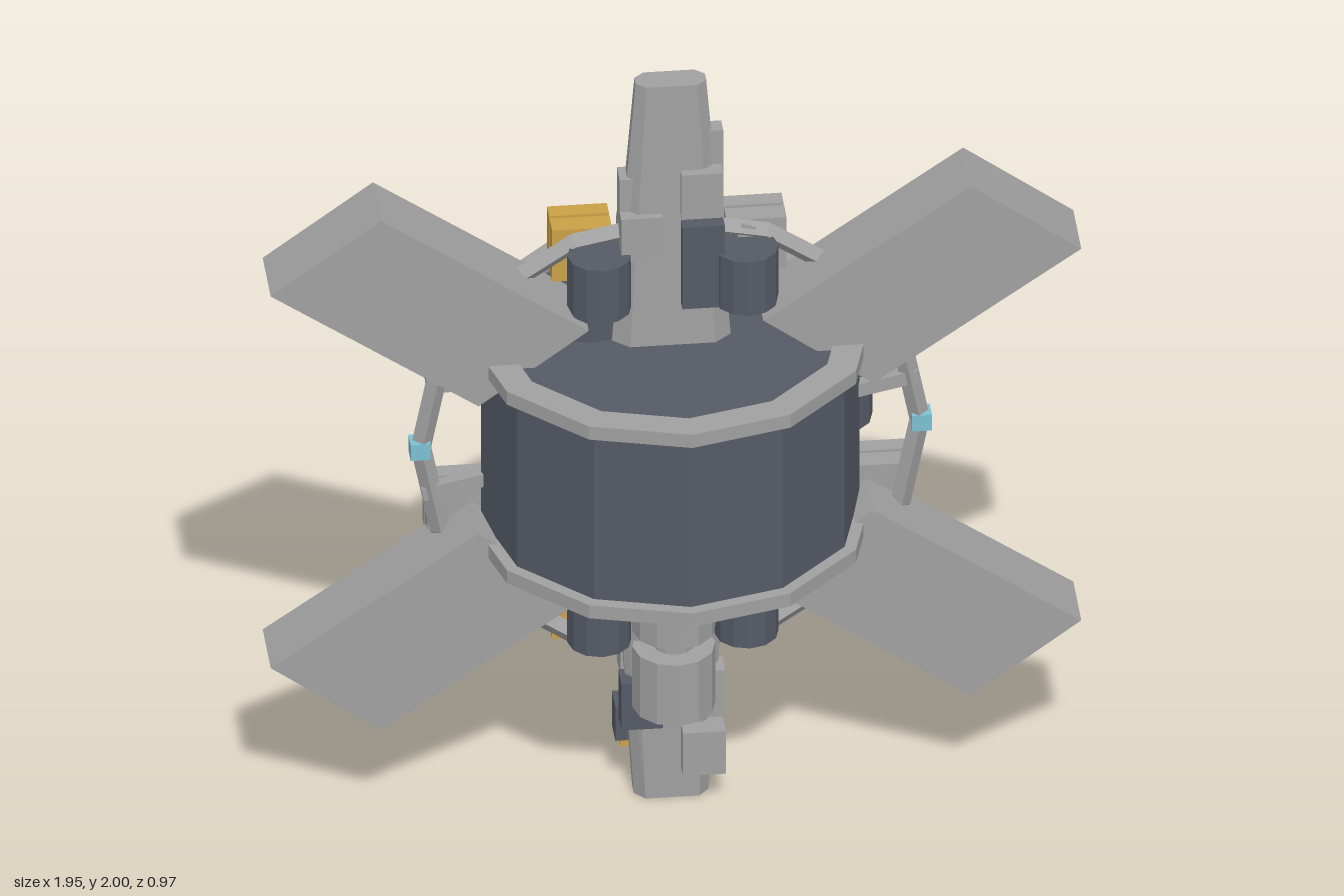
import * as THREE from 'three';

const paint = (name, color) => {
  const m = new THREE.MeshStandardMaterial({ color, flatShading: true });
  m.name = name;
  return m;
};

export function createModel() {
  const grey = paint('light grey hull', 0xa0a0a0);
  const dark = paint('slate', 0x555a66);
  const gold = paint('gold', 0xc9a046);
  const cyan = paint('cyan light', 0x7cc0d2);
  const black = paint('dark gap', 0x3c3e42);
  const model = new THREE.Group();
  model.name = 'spaceStation';

  const add = (name, geo, mat, x = 0, y = 0, z = 0) => {
    const m = new THREE.Mesh(geo, mat);
    m.name = name;
    m.position.set(x, y, z);
    model.add(m);
    return m;
  };
  // box given by its two opposite corners
  const box = (name, mat, x0, x1, y0, y1, z0, z1) =>
    add(name, new THREE.BoxGeometry(x1 - x0, y1 - y0, z1 - z0), mat, (x0 + x1) / 2, (y0 + y1) / 2, (z0 + z1) / 2);
  // upright cylinder from y0 to y1
  const can = (name, mat, r, x, z, y0, y1, sides = 12) =>
    add(name, new THREE.CylinderGeometry(r, r, y1 - y0, sides), mat, x, (y0 + y1) / 2, z);
  const extrude = (pts, depth) => new THREE.ExtrudeGeometry(
    new THREE.Shape(pts.map(p => new THREE.Vector2(p[0], p[1]))), { depth, bevelEnabled: false });

  // tapered spire with chamfered corners; a and b are [y, halfWidth, halfDepth]
  const spire = (name, a, b) => {
    const oct = [[1, 0.4], [0.72, 1], [-0.72, 1], [-1, 0.4], [-1, -0.4], [-0.72, -1], [0.72, -1], [1, -0.4]];
    const geo = extrude(oct, 1).rotateX(-Math.PI / 2);
    const p = geo.attributes.position;
    for (let i = 0; i < p.count; i++) {
      const t = p.getY(i);
      const mix = k => a[k] + (b[k] - a[k]) * t;
      p.setXYZ(i, p.getX(i) * mix(1), mix(0), p.getZ(i) * mix(2));
    }
    geo.computeVertexNormals();
    add(name, geo, grey);
  };
  spire('upperSpire', [1.26, 0.145, 0.06], [2, 0.085, 0.035]);
  spire('lowerSpire', [0, 0.09, 0.048], [0.79, 0.14, 0.06]);

  // central drum with a split flange at each end
  can('drum', dark, 0.455, 0, 0, 0.765, 1.285);
  const arc = r => [30, 60, 90, 120, 150].map(d => {
    const a = THREE.MathUtils.degToRad(d);
    return [r * Math.cos(a), r * Math.sin(a)];
  });
  const halfRing = [[0.458, 0.1], ...arc(0.485), [-0.458, 0.1], [-0.383, 0.1], ...arc(0.41).reverse(), [0.383, 0.1]];
  for (const y of [0.755, 1.26])
    for (const turn of [0, Math.PI]) {
      const geo = extrude(halfRing, 0.037).rotateX(-Math.PI / 2).rotateY(turn);
      add('drumFlange', geo, grey, 0, y, 0);
    }

  // outer hoop with cyan lights and radial spokes
  const hoop = new THREE.TorusGeometry(0.6, 0.025, 4, 16);
  add('hoop', hoop, grey, 0, 1, 0);
  for (const s of [-1, 1]) box('hoopLight', cyan, s * 0.603 - 0.024, s * 0.603 + 0.024, 0.978, 1.022, -0.025, 0.025);
  for (let i = 0; i < 6; i++) {
    const a = THREE.MathUtils.degToRad(12 + i * 60);
    const spoke = add('spoke', new THREE.BoxGeometry(0.22, 0.035, 0.03), grey, 0.5 * Math.cos(a), 1 + 0.5 * Math.sin(a), 0);
    spoke.rotation.z = a;
  }

  // four slanted panels
  for (const sx of [-1, 1])
    for (const sy of [-1, 1]) {
      const pts = [[0.21, 0.375], [0.71, 0.72], [0.975, 0.525], [0.475, 0.18]];
      add('panel', extrude(pts.map(([x, y]) => [sx * x, sy * y]), 0.175), grey, 0, 1.005, -0.05);
    }

  // layered pods on the back of the hoop
  const pod = (x, y, body, badge) => {
    const r = 0.072;
    box('podInner', body, x - r, x + r, y - r, y + r, -0.075, -0.02);
    box('podGap', black, x - r * 0.9, x + r * 0.9, y - r * 0.9, y + r * 0.9, -0.086, -0.074);
    box('podOuter', body, x - r, x + r, y - r, y + r, -0.13, -0.085);
    box('podBadge', badge, x - 0.022, x + 0.022, y - 0.013, y + 0.013, -0.134, -0.129);
  };
  for (const sx of [-1, 1])
    for (const sy of [-1, 1]) {
      pod(sx * 0.51, 1 + sy * 0.21, grey, gold);
      const golden = sx < 0;
      pod(sx * 0.21, 1 + sy * 0.505, golden ? gold : grey, golden ? black : gold);
    }

  // tanks
  for (const s of [-1, 1]) {
    can('upperTank', dark, 0.077, s * 0.177, 0.055, 1.4, 1.55);
    can('lowerTank', dark, 0.077, s * 0.177, 0.055, 0.46, 0.61);
  }
  can('topTank', dark, 0.13, -0.19, -0.1, 1.25, 1.35);
  can('bottomTank', dark, 0.13, -0.19, -0.1, 0.66, 0.8);
  can('sideTank', dark, 0.1, 0.4, -0.12, 0.95, 1.05);
  can('frontModule', grey, 0.1, 0, 0.075, 0.28, 0.45);
  can('frontModule', grey, 0.1, 0, 0.075, 0.495, 0.66);
  can('frontModuleLink', grey, 0.05, 0, 0.075, 0.44, 0.5);
  can('frontModuleNeck', grey, 0.05, 0, 0.075, 0.65, 0.77);

  // equipment boxes on the upper spire
  box('upperBox', grey, 0.02, 0.12, 1.64, 1.765, 0, 0.065);
  box('upperBox', grey, -0.125, -0.025, 1.53, 1.65, 0, 0.065);
  box('upperDarkBox', dark, 0.02, 0.122, 1.4, 1.63, 0, 0.085);
  box('upperRearBox', grey, 0.02, 0.115, 1.7, 1.82, -0.07, 0);
  box('upperRearBox', grey, -0.12, -0.025, 1.44, 1.57, -0.1, 0);
  box('upperRearBox', grey, 0.025, 0.12, 1.52, 1.64, -0.07, 0);
  box('upperSidePlate', grey, 0.08, 0.125, 1.6, 1.86, -0.022, 0.022);
  box('upperSidePlate', grey, -0.125, -0.08, 1.6, 1.74, -0.03, 0.03);
  box('topTankMount', dark, -0.22, -0.16, 1.35, 1.38, -0.13, -0.08);

  // equipment boxes on the lower spire
  box('lowerBox', grey, 0.02, 0.123, 0.09, 0.21, 0, 0.1);
  box('lowerBox', grey, 0.04, 0.125, 0.23, 0.36, 0, 0.065);
  box('lowerDarkBox', dark, -0.125, -0.025, 0.21, 0.34, 0, 0.07);
  box('lowerRearBox', grey, 0.03, 0.13, 0.42, 0.54, -0.075, 0);
  box('lowerRearBox', grey, -0.12, -0.03, 0.32, 0.42, -0.07, 0);
  box('sensor', cyan, 0.025, 0.095, 0.1, 0.2, -0.085, -0.02);
  box('lowerRearDarkBox', dark, -0.13, -0.045, 0.125, 0.22, -0.095, -0.02);
  box('lowerRearGoldBase', gold, -0.118, -0.06, 0.105, 0.125, -0.085, -0.025);
  return model;
}
